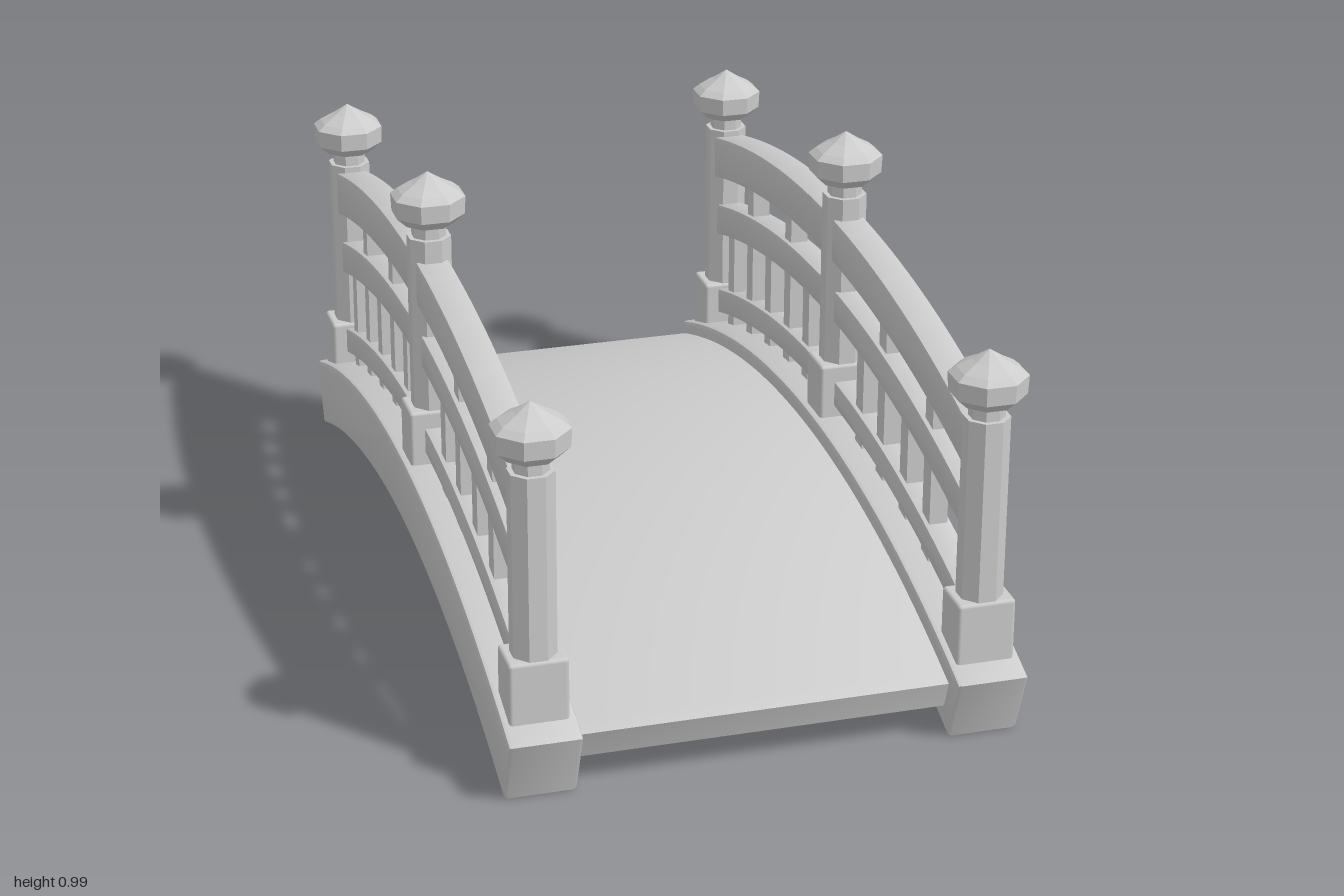
import * as THREE from 'three';
import { toCreasedNormals } from 'three/addons/utils/BufferGeometryUtils.js';
import { RoundedBoxGeometry } from 'three/addons/geometries/RoundedBoxGeometry.js';

const smooth = new THREE.MeshStandardMaterial({ color: 0xcccccc });
const faceted = new THREE.MeshStandardMaterial({ color: 0xcccccc, flatShading: true });

const ARC_Y = -2.48; // common centre of every arch, below the bridge
const RAIL_X = 0.472;

// Height of a concentric arch at distance z, given its height at the crown
const archY = (crown, z) => ARC_Y + Math.sqrt((crown - ARC_Y) ** 2 - z * z);

function add(parent, name, geometry, material, x = 0, y = 0, z = 0) {
  const mesh = new THREE.Mesh(geometry, material);
  mesh.name = name;
  mesh.position.set(x, y, z);
  parent.add(mesh);
  return mesh;
}

// Curved bar between two crown heights, cut radially at the half angle
function archGeometry(bottom, top, halfAngle, width, bevel) {
  const shape = new THREE.Shape();
  const mid = Math.PI / 2;
  shape.absarc(0, ARC_Y, top - ARC_Y, mid - halfAngle, mid + halfAngle, false);
  shape.absarc(0, ARC_Y, bottom - ARC_Y, mid + halfAngle, mid - halfAngle, true);
  shape.closePath();
  const depth = width - 2 * bevel;
  const geometry = new THREE.ExtrudeGeometry(shape, {
    depth, curveSegments: 28, bevelEnabled: bevel > 0,
    bevelThickness: bevel, bevelSize: bevel, bevelOffset: -bevel, bevelSegments: 2,
  });
  geometry.translate(0, 0, -depth / 2);
  geometry.rotateY(-Math.PI / 2);
  return toCreasedNormals(geometry, 0.6);
}

// Octagonal post with a block at its foot and a bulb finial
function createPost(name, footY, footTop, shaftTop) {
  const post = new THREE.Group();
  post.name = name;
  add(post, 'postBase', new RoundedBoxGeometry(0.125, footTop - footY, 0.1, 2, 0.008),
    smooth, 0, (footY + footTop) / 2);

  const shaft = new THREE.CylinderGeometry(0.049, 0.049, shaftTop - footTop + 0.02, 8);
  shaft.rotateY(Math.PI / 8);
  add(post, 'postShaft', shaft, faceted, 0, (footTop + shaftTop - 0.02) / 2);

  const profile = [
    [0, -0.01], [0.038, -0.01], [0.038, 0.025], [0.056, 0.03], [0.08, 0.052],
    [0.082, 0.092], [0.066, 0.105], [0.035, 0.122], [0, 0.145],
  ].map(([r, y]) => new THREE.Vector2(r, y));
  const finial = new THREE.LatheGeometry(profile, 8);
  finial.rotateY(Math.PI / 8);
  add(post, 'finial', finial, faceted, 0, shaftTop);
  return post;
}

function createSide(name) {
  const side = new THREE.Group();
  side.name = name;

  add(side, 'sideBeam', archGeometry(0.175, 0.33, 0.365, 0.155, 0.01), smooth);

  // Three concentric handrails ending inside the end posts
  const rails = [
    ['lowerRail', 0.355, 0.415, 0.06],
    ['middleRail', 0.555, 0.63, 0.06],
    ['topRail', 0.7, 0.8, 0.072],
  ];
  for (const [label, bottom, top, width] of rails) {
    const halfAngle = Math.asin(0.885 / ((bottom + top) / 2 - ARC_Y));
    add(side, label, archGeometry(bottom, top, halfAngle, width, 0.005), smooth);
  }

  // Tall balusters reach the top rail, short ones the middle rail
  const balusters = [
    [0.63, 0.73], [0.485, 0.59], [0.333, 0.73], [0.193, 0.59],
    [-0.193, 0.59], [-0.333, 0.73], [-0.48, 0.59], [-0.625, 0.73], [-0.775, 0.59],
  ];
  for (const [z, crown] of balusters) {
    const y0 = archY(0.31, z);
    const y1 = archY(crown, z);
    add(side, 'baluster', new THREE.BoxGeometry(0.04, y1 - y0, 0.045), smooth, 0, (y0 + y1) / 2, z);
  }

  const middle = createPost('middlePost', 0.3, 0.455, 0.85);
  side.add(middle);
  for (const s of [1, -1]) {
    const end = createPost(s > 0 ? 'frontPost' : 'backPost', 0.15, 0.3, 0.7);
    end.position.z = s * 0.9;
    side.add(end);
  }
  return side;
}

export function createModel() {
  const bridge = new THREE.Group();
  bridge.name = 'archedBridge';

  // Walking deck, slightly recessed between the side beams
  add(bridge, 'deck', archGeometry(0.233, 0.3, 0.352, 0.785, 0.005), smooth);

  for (const s of [1, -1]) {
    const side = createSide(s > 0 ? 'leftRailing' : 'rightRailing');
    side.position.x = s * RAIL_X;
    bridge.add(side);
  }
  return bridge;
}
